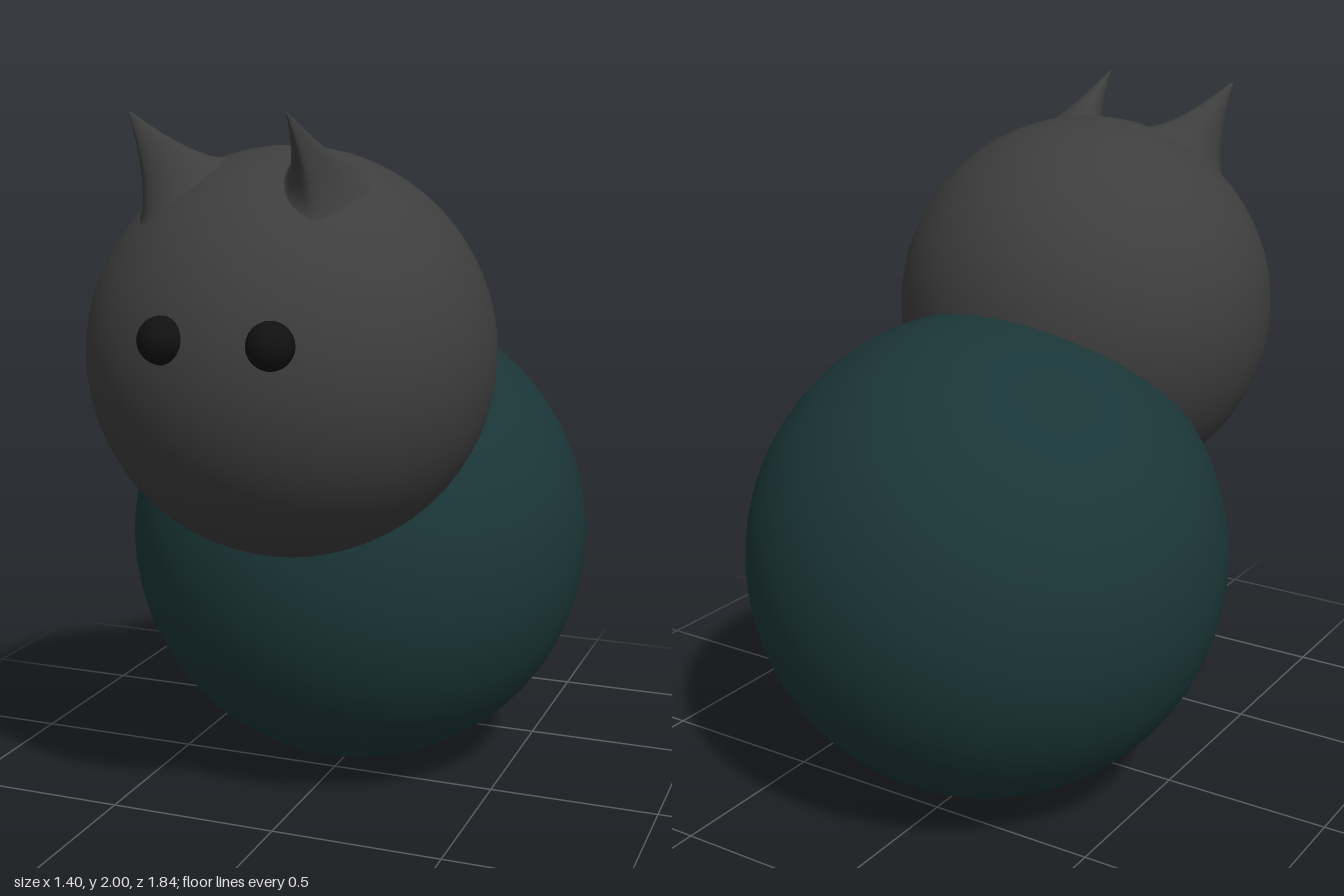
import * as THREE from 'three';

const HEAD = new THREE.Vector3(0, 1.345, 0.327);
const HEAD_R = 0.563;

const bodyMat = new THREE.MeshStandardMaterial({ color: 0x1b3638 });
const headMat = new THREE.MeshStandardMaterial({ color: 0x3e3e3e });
const eyeMat = new THREE.MeshStandardMaterial({ color: 0x111111 });

function ball(name, mat, x, y, z, rx, ry, rz, seg) {
  const mesh = new THREE.Mesh(new THREE.SphereGeometry(1, seg, seg / 2), mat);
  mesh.name = name;
  mesh.position.set(x, y, z);
  mesh.scale.set(rx, ry, rz);
  return mesh;
}

// Drops an (x, z) point onto the head, just below its surface
function onHead([x, z]) {
  const dx = x - HEAD.x, dz = z - HEAD.z, r = HEAD_R - 0.006;
  return new THREE.Vector3(x, HEAD.y + Math.sqrt(r * r - dx * dx - dz * dz), z);
}

// Ear: a closed outline on the head, swept in a flaring curve to the tip
function makeEar(name, outline, tip) {
  const sides = 28, levels = 12;
  const loop = new THREE.CatmullRomCurve3(outline.map(onHead), true);
  const base = [];
  for (let i = 0; i < sides; i++) {
    const p = loop.getPoint(i / sides);
    base.push(onHead([p.x, p.z]));
  }
  const middle = base.reduce((s, p) => s.add(p), new THREE.Vector3()).divideScalar(sides);
  const axis = middle.clone().lerp(tip, 0.35);

  const pos = [], index = [];
  for (let j = 0; j <= levels; j++) {
    for (const p of base) {
      const bend = p.clone().lerp(axis, 0.5);
      const end = tip.clone().lerp(p, 0.03);
      const q = new THREE.QuadraticBezierCurve3(p, bend, end).getPoint(j / levels);
      pos.push(q.x, q.y, q.z);
    }
  }
  pos.push(tip.x, tip.y, tip.z);
  for (let i = 0; i < sides; i++) {
    const k = (i + 1) % sides;
    for (let j = 0; j < levels; j++) {
      const a = j * sides + i, b = j * sides + k;
      index.push(a, a + sides, b, b, a + sides, b + sides);
    }
    index.push(levels * sides + i, (levels + 1) * sides, levels * sides + k);
  }
  const geo = new THREE.BufferGeometry();
  geo.setAttribute('position', new THREE.Float32BufferAttribute(pos, 3));
  geo.setIndex(index);
  geo.computeVertexNormals();
  const mesh = new THREE.Mesh(geo, headMat);
  mesh.name = name;
  return mesh;
}

export function createModel() {
  const model = new THREE.Group();
  model.name = 'roundCat';

  // Two overlapping balls for body and head
  model.add(ball('body', bodyMat, 0, 0.711, -0.222, 0.7, 0.708, 0.7, 64));
  model.add(ball('head', headMat, HEAD.x, HEAD.y, HEAD.z, HEAD_R, HEAD_R, HEAD_R, 64));

  // Eyes
  model.add(ball('rightEye', eyeMat, -0.133, 1.445, 0.86, 0.062, 0.062, 0.062, 24));
  model.add(ball('leftEye', eyeMat, 0.158, 1.445, 0.855, 0.062, 0.062, 0.062, 24));

  // Ears, slightly uneven, leaning forward
  model.add(makeEar('rightEar',
    [[-0.34, 0.53], [-0.28, 0.42], [-0.15, 0.41], [-0.11, 0.52], [-0.19, 0.64], [-0.29, 0.65]],
    new THREE.Vector3(-0.315, 2.0, 0.655)));
  model.add(makeEar('leftEar',
    [[0.07, 0.52], [0.1, 0.41], [0.2, 0.38], [0.29, 0.45], [0.27, 0.58], [0.21, 0.68], [0.12, 0.66]],
    new THREE.Vector3(0.163, 2.0, 0.755)));

  return model;
}
